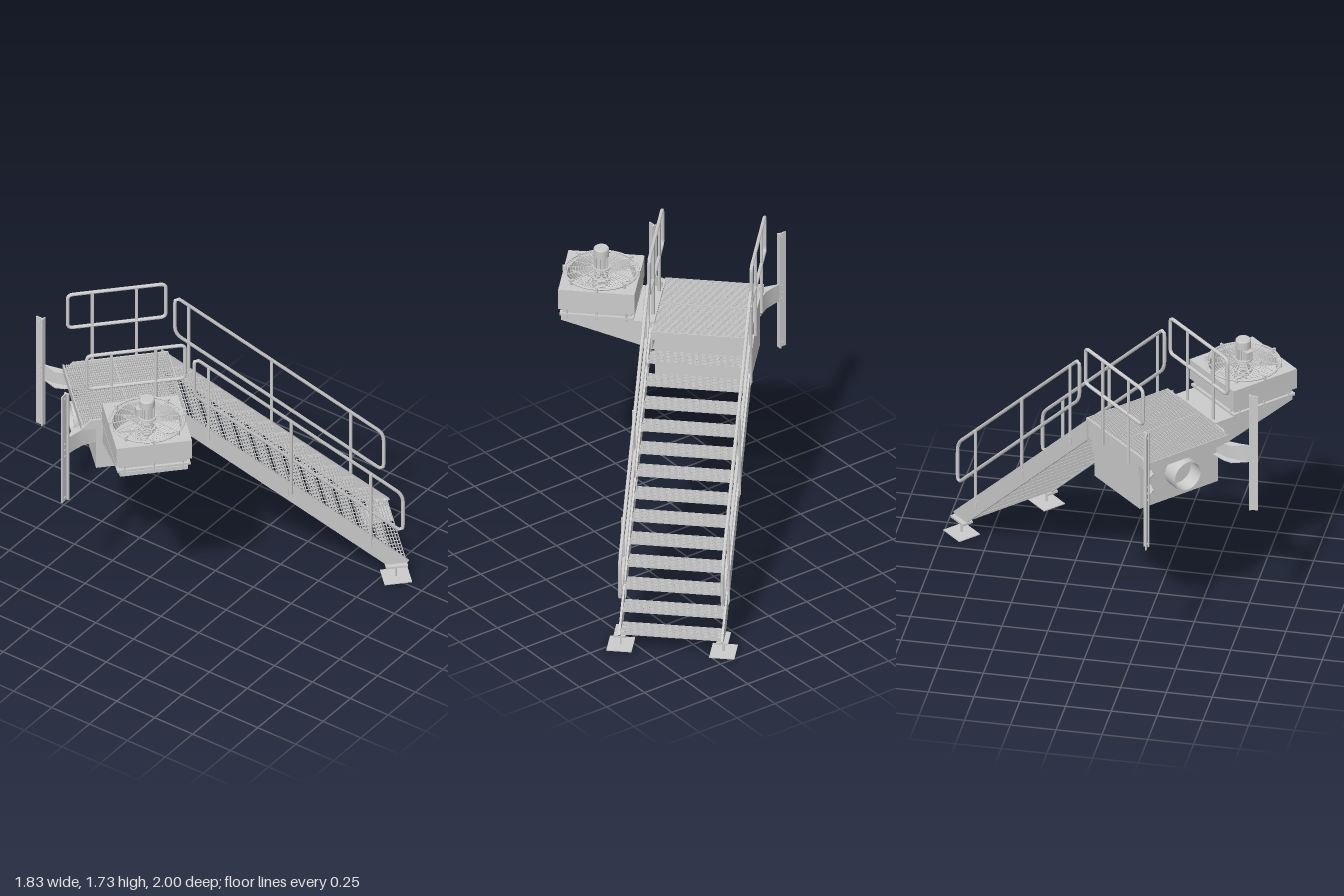
import * as THREE from 'three';
import { mergeGeometries, toCreasedNormals } from 'three/addons/utils/BufferGeometryUtils.js';

const MAT = new THREE.MeshStandardMaterial({ color: 0xcccccc, side: THREE.DoubleSide });
const MID = -0.048; // centre line of the stair across its width

// Helpers: +x runs down the stair, +z across it, before the final turn
const box = (x0, x1, y0, y1, z0, z1) =>
  new THREE.BoxGeometry(x1 - x0, y1 - y0, z1 - z0).translate((x0 + x1) / 2, (y0 + y1) / 2, (z0 + z1) / 2);
const cyl = (r, y0, y1, x, z, n = 16, r2 = r) =>
  new THREE.CylinderGeometry(r2, r, y1 - y0, n).translate(x, (y0 + y1) / 2, z);
const shape = (pts) => new THREE.Shape(pts.map(([x, y]) => new THREE.Vector2(x, y)));
const plate = (pts, depth) =>
  new THREE.ExtrudeGeometry(Array.isArray(pts) ? shape(pts) : pts, { depth, bevelEnabled: false, curveSegments: 32 });
const flat = (pts, y, depth) => plate(pts, depth).rotateX(Math.PI / 2).translate(0, y, 0); // outline in x,z

function add(parent, name, geos) {
  const list = (Array.isArray(geos) ? geos : [geos]).map((g) => (g.index ? g.toNonIndexed() : g));
  const mesh = new THREE.Mesh(toCreasedNormals(mergeGeometries(list), 0.6), MAT);
  mesh.name = name;
  parent.add(mesh);
}

// Closed tube loop with rounded corners in a plane of constant z
function loopRail(corners, z, radius, r = 0.01) {
  const pts = corners.map(([x, y]) => new THREE.Vector3(x, y, z));
  const path = new THREE.CurvePath();
  const n = pts.length;
  const toward = (p, q) => p.clone().add(q.clone().sub(p).setLength(radius));
  for (let i = 0; i < n; i++) {
    const p = pts[i], prev = pts[(i + n - 1) % n], next = pts[(i + 1) % n];
    path.add(new THREE.QuadraticBezierCurve3(toward(p, prev), p, toward(p, next)));
    path.add(new THREE.LineCurve3(toward(p, next), toward(next, p)));
  }
  return new THREE.TubeGeometry(path, 160, r, 8, true);
}

// Open grating: long bars across the width, thin ties along the depth
function grating(x0, x1, top, h, z0, z1, bars, ties) {
  const out = [];
  for (let i = 0; i < bars; i++) {
    const x = x0 + ((x1 - x0) * i) / (bars - 1);
    out.push(box(x - 0.0012, x + 0.0012, top - h, top, z0, z1));
  }
  for (let i = 0; i < ties; i++) {
    const z = z0 + ((z1 - z0) * (i + 0.5)) / ties;
    out.push(box(x0, x1, top - 0.006, top - 0.001, z - 0.0012, z + 0.0012));
  }
  return out;
}

function buildStair(g) {
  const slope = 0.95;
  const railY = (x) => 1.12 - slope * (x - 0.368);
  for (const [side, s, z] of [['right', 1, 0.23], ['left', -1, -0.325]]) {
    // Sloping plate stringer, cut level at the foot and upright at the deck
    const outline = [[-0.235, 1.155], [-0.235, 1.277], [1.01, 0.1], [1.0, 0.09], [0.885, 0.09]];
    add(g, side + 'Stringer', plate(outline, 0.012).translate(0, 0, z - 0.006));

    // Handrail loop following the slope, with three posts
    const a = -0.16, b = 0.978;
    const rail = [loopRail([[a, railY(a)], [b, railY(b)], [b, railY(b) - 0.25], [a, railY(a) - 0.25]], z, 0.05)];
    for (const x of [-0.083, 0.368, 0.8]) {
      rail.push(cyl(0.009, railY(x) - 0.48, railY(x), x, z + s * 0.008, 8));
      rail.push(box(x - 0.014, x + 0.014, railY(x) - 0.49, railY(x) - 0.44, z - 0.012, z + 0.012));
    }
    add(g, side + 'StairRail', rail);

    // Levelling foot: ground plate, rod, shoe and nuts
    const foot = [box(0.865, 1.015, 0, 0.005, z - 0.068, z + 0.068), cyl(0.005, 0, 0.125, 0.94, z, 8),
      box(0.88, 1.0, 0.078, 0.09, z - 0.032, z + 0.032)];
    for (const x of [0.9, 0.94, 0.98]) foot.push(cyl(0.01, 0.09, 0.112, x, z - s * 0.02, 6));
    add(g, side + 'Foot', foot);
  }

  // Grated treads with end plates
  const treads = [];
  for (let i = 0; i < 13; i++) {
    const y = 0.112 + i * 0.0865, x = 0.94 - (i * 0.0865) / slope;
    treads.push(...grating(x - 0.053, x + 0.053, y, 0.016, -0.319, 0.224, 8, 18));
    for (const z of [-0.317, 0.222]) treads.push(box(x - 0.053, x + 0.053, y - 0.022, y, z - 0.002, z + 0.002));
  }
  add(g, 'treads', treads);
}

function buildPlatform(g) {
  // Plenum box below the deck, with round inlet at its outer end
  add(g, 'plenumBox', plate([[-0.69, 0.94], [-0.268, 0.94], [-0.268, 1.07], [-0.245, 1.09], [-0.245, 1.235], [-0.69, 1.235]], 0.51)
    .translate(0, 0, -0.302));
  const pipe = new THREE.LatheGeometry([[0.08, -0.01], [0.08, 0.09], [0.089, 0.09], [0.089, 0]]
    .map(([r, y]) => new THREE.Vector2(r, y)), 32).rotateZ(Math.PI / 2);
  add(g, 'inletPipe', pipe.translate(-0.69, 1.1, MID));

  // Deck: side beams with sloped ends, cross bars and open grating
  const beams = [-0.31, 0.214].map((z) =>
    plate([[-0.775, 1.215], [-0.72, 1.272], [-0.2, 1.272], [-0.2, 1.16], [-0.69, 1.16], [-0.69, 1.215]], 0.01).translate(0, 0, z));
  beams.push(box(-0.206, -0.2, 1.22, 1.272, -0.31, 0.224), box(-0.504, -0.5, 1.24, 1.272, -0.31, 0.224));
  beams.push(box(-0.775, -0.77, 1.215, 1.265, -0.31, 0.224));
  add(g, 'deckBeams', beams);
  add(g, 'deckGrating', grating(-0.768, -0.21, 1.268, 0.03, -0.3, 0.214, 52, 26));

  for (const [side, z] of [['right', 0.233], ['left', -0.32]]) {
    // Guard rail loop and posts
    const rail = [loopRail([[-0.745, 1.495], [-0.745, 1.715], [-0.21, 1.715], [-0.21, 1.495]], z, 0.03)];
    for (const x of [-0.61, -0.37]) rail.push(cyl(0.009, 1.19, 1.715, x, z, 8));
    add(g, side + 'GuardRail', rail);
  }

  // Angled wall strips on gusseted arms, mirrored about the centre line
  for (const s of [-1, 1]) {
    const side = s < 0 ? 'left' : 'right';
    const strip = new THREE.Group();
    strip.name = side + 'WallStrip';
    strip.position.set(-0.882, 0, MID + 0.005 + s * 0.35);
    strip.rotation.y = s * 0.81;
    add(strip, 'angleBar', [box(-0.024, 0.024, 0.82, 1.53, -0.004, 0.004),
      s < 0 ? box(0.016, 0.024, 0.82, 1.53, -0.018, 0.012) : box(0.016, 0.024, 0.82, 1.53, -0.012, 0.018)]);
    const bolts = [0.845, 1.12, 1.16, 1.2, 1.505].map((y) =>
      new THREE.CylinderGeometry(0.007, 0.007, 0.016, 8).rotateX(Math.PI / 2).translate(0, y, 0));
    add(strip, 'bolts', bolts);
    g.add(strip);

    const P = (x, d) => [x, MID + s * d];
    const gusset = [P(-0.865, 0.34), P(-0.82, 0.255), P(-0.77, 0.235), P(-0.69, 0.225), P(-0.69, 0.255), P(-0.77, 0.275), P(-0.825, 0.31)];
    const web = [P(-0.87, 0.345), P(-0.825, 0.31), P(-0.77, 0.275), P(-0.69, 0.255), P(-0.69, 0.247), P(-0.77, 0.267), P(-0.825, 0.3)];
    add(g, side + 'WallArm', [flat(gusset, 1.22, 0.006), flat(gusset, 1.12, 0.006), flat(web, 1.22, 0.106)]);
  }
}

function buildFan(g) {
  const cx = -0.472, cz = 0.526, h = 0.206;
  // Wedge duct: side plates, upper core and a solid margin round the louvred underside
  const duct = (pts, x0, x1) => plate(pts, x1 - x0).rotateY(-Math.PI / 2).translate(x1, 0, 0); // outline in z,y
  const wedge = [[0.215, 1.11], [0.215, 1.28], [0.72, 1.28], [0.72, 1.255]];
  add(g, 'wedgeDuct', [duct(wedge, -0.655, -0.615), duct(wedge, -0.325, -0.285),
    duct([[0.215, 1.14], [0.215, 1.28], [0.72, 1.28], [0.7, 1.272]], -0.615, -0.325),
    duct([[0.215, 1.11], [0.215, 1.15], [0.3, 1.16], [0.3, 1.1344]], -0.615, -0.325),
    duct([[0.68, 1.244], [0.68, 1.28], [0.72, 1.28], [0.72, 1.255]], -0.615, -0.325)]);
  const slats = [];
  for (let i = 0; i < 13; i++) {
    const z = 0.315 + i * 0.029;
    slats.push(box(-0.615, -0.325, 0, 0.004, -0.012, 0.012).rotateX(0.5).translate(0, 1.122 + (z - 0.215) * 0.287, z));
  }
  add(g, 'ductLouvres', slats);

  // Mounting flange, studs and fan housing with round opening
  const flange = [box(cx - 0.185, cx + 0.185, 1.28, 1.34, cz - 0.185, cz + 0.185),
    box(cx - 0.2, cx + 0.2, 1.288, 1.302, cz - 0.2, cz + 0.2)];
  for (const i of [-1, 0, 1]) for (const s of [-1, 1]) {
    flange.push(cyl(0.006, 1.278, 1.335, cx + i * 0.16, cz + s * 0.193, 6));
    flange.push(cyl(0.006, 1.278, 1.335, cx + s * 0.193, cz + i * 0.16, 6));
  }
  add(g, 'fanFlange', flange);
  const square = shape([[-h, -h], [h, -h], [h, h], [-h, h]]);
  square.holes.push(new THREE.Path().absarc(0, 0, 0.185, 0, Math.PI * 2, true));
  add(g, 'fanHousing', plate(square, 0.12).rotateX(-Math.PI / 2).translate(cx, 1.333, cz));

  // Blades and hub
  const blades = [cyl(0.05, 1.37, 1.43, cx, cz, 24)];
  for (let i = 0; i < 6; i++)
    blades.push(box(0.04, 0.178, -0.003, 0.003, -0.035, 0.035).rotateX(0.5).rotateY((i * Math.PI) / 3).translate(cx, 1.4, cz));
  add(g, 'fanBlades', blades);

  // Wire guard: shallow domed rings, spokes and clips
  const guardY = (r) => 1.488 - 0.45 * r * r;
  const guard = [];
  for (let r = 0.055; r < 0.2; r += 0.014)
    guard.push(new THREE.TorusGeometry(r, 0.002, 5, 40).rotateX(Math.PI / 2).translate(cx, guardY(r), cz));
  guard.push(new THREE.TorusGeometry(0.2, 0.006, 6, 48).rotateX(Math.PI / 2).translate(cx, 1.468, cz));
  for (let i = 0; i < 16; i++)
    guard.push(box(0.04, 0.2, -0.002, 0.002, -0.002, 0.002).rotateZ(-0.1).rotateY((i * Math.PI) / 8).translate(cx, 1.491, cz));
  for (let i = 0; i < 8; i++)
    guard.push(box(0.19, 0.21, 1.45, 1.482, -0.006, 0.006).rotateY((i * Math.PI) / 4).translate(cx, 0, cz));
  add(g, 'fanGuard', guard);

  // Upright motor with cooling fins, cap and terminal box
  const motor = [cyl(0.05, 1.483, 1.495, cx, cz, 24), cyl(0.036, 1.42, 1.575, cx, cz, 24),
    cyl(0.042, 1.562, 1.605, cx, cz, 24), cyl(0.042, 1.605, 1.613, cx, cz, 24, 0.036)];
  for (let i = 0; i < 20; i++)
    motor.push(box(0.034, 0.042, 1.495, 1.56, -0.0015, 0.0015).rotateY((i * Math.PI) / 10).translate(cx, 0, cz));
  motor.push(box(cx - 0.062, cx - 0.03, 1.51, 1.555, cz - 0.02, cz + 0.02));
  add(g, 'fanMotor', motor);
}

export function createModel() {
  const root = new THREE.Group();
  root.name = 'accessStairWithFan';
  const turned = new THREE.Group();
  turned.name = 'assembly';
  turned.rotation.y = THREE.MathUtils.degToRad(46.5);
  for (const [name, build] of [['stair', buildStair], ['platform', buildPlatform], ['fanUnit', buildFan]]) {
    const part = new THREE.Group();
    part.name = name;
    build(part);
    turned.add(part);
  }
  root.add(turned);
  return root;
}
